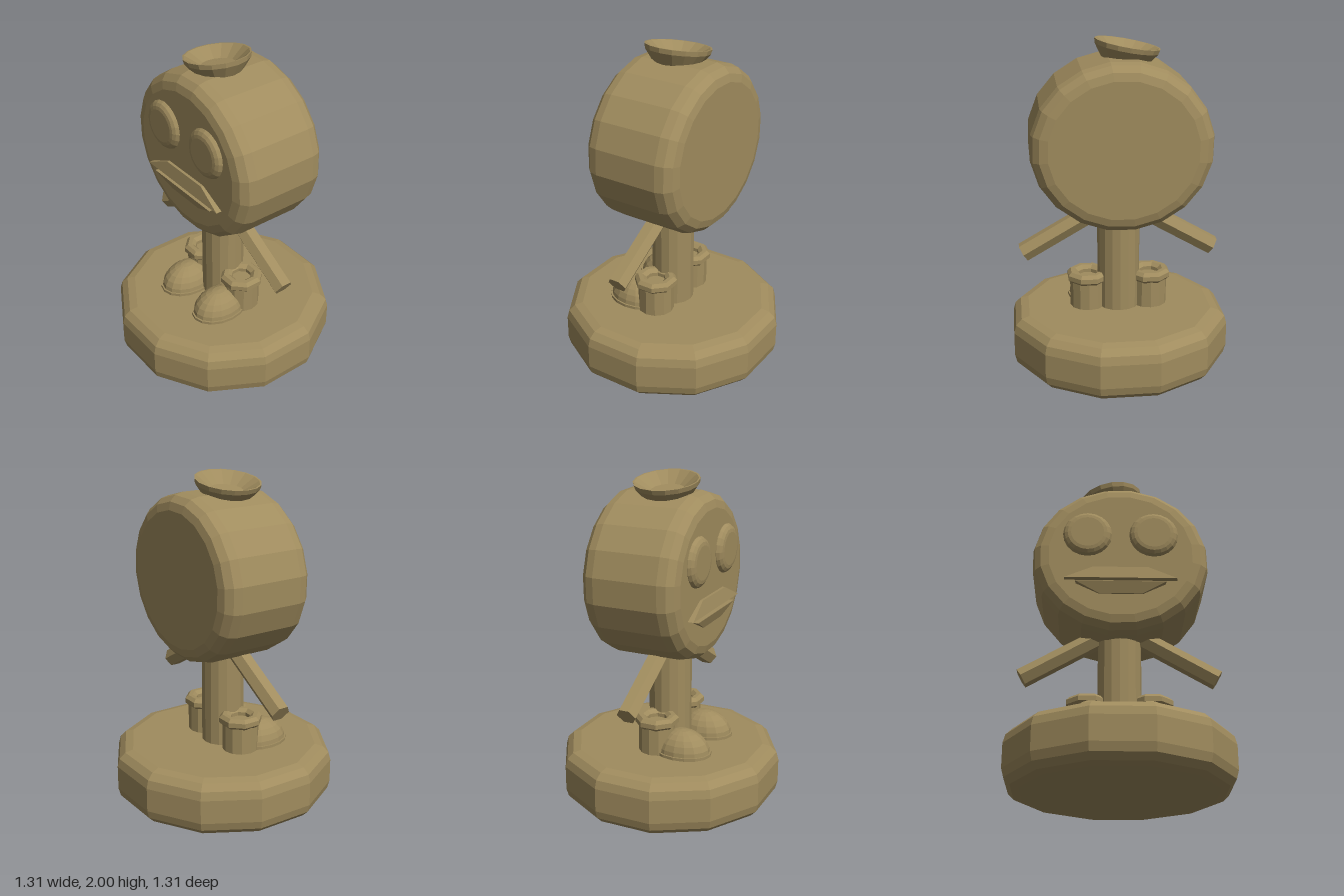
import * as THREE from 'three';

const tan = new THREE.MeshStandardMaterial({ color: 0xa08c5e, flatShading: true });
tan.name = 'tan';

const rad = THREE.MathUtils.degToRad;

function add(parent, name, geometry, x = 0, y = 0, z = 0) {
  const mesh = new THREE.Mesh(geometry, tan);
  mesh.name = name;
  mesh.position.set(x, y, z);
  parent.add(mesh);
  return mesh;
}

// Turned solid from [radius, height] pairs, listed bottom to top
function lathe(points, sides, startDeg = 0) {
  return new THREE.LatheGeometry(
    points.map(([r, h]) => new THREE.Vector2(r, h)), sides, rad(startDeg));
}

// Half profile of a disc with rounded rims
function roundedDisc(radius, bottom, top, bevel, steps) {
  const pts = [[0, bottom]];
  for (let i = 0; i <= steps; i++) {
    const a = (i / steps) * Math.PI / 2;
    pts.push([radius - bevel + bevel * Math.sin(a), bottom + bevel - bevel * Math.cos(a)]);
  }
  for (let i = 0; i <= steps; i++) {
    const a = (i / steps) * Math.PI / 2;
    pts.push([radius - bevel + bevel * Math.cos(a), top - bevel + bevel * Math.sin(a)]);
  }
  pts.push([0, top]);
  return pts;
}

// Trapezoid lip whose front leans back from the mouth line
function lip(wide, narrow, yMouth, yFar, lean) {
  const shape = new THREE.Shape([
    new THREE.Vector2(-wide, yMouth), new THREE.Vector2(wide, yMouth),
    new THREE.Vector2(narrow, yFar), new THREE.Vector2(-narrow, yFar)]);
  const geo = new THREE.ExtrudeGeometry(shape, { depth: 0.05, bevelEnabled: false });
  const p = geo.attributes.position;
  for (let i = 0; i < p.count; i++) {
    if (p.getZ(i) > 0.01) {
      p.setZ(i, 0.05 - lean * (p.getY(i) - yMouth) / (yFar - yMouth));
    }
  }
  geo.computeVertexNormals();
  return geo;
}

export function createModel() {
  const model = new THREE.Group();
  model.name = 'figurine';

  // Twelve-sided stand
  add(model, 'base', lathe(roundedDisc(0.678, 0, 0.345, 0.1, 3), 12, 15));

  // Post body
  add(model, 'body', new THREE.CylinderGeometry(0.13, 0.13, 0.65, 16), 0, 0.66, 0);

  // Drum-shaped head facing forward, slightly wider than tall
  const headGeo = lathe(roundedDisc(0.535, -0.33, 0.265, 0.1, 3), 20, 10.5);
  headGeo.rotateX(Math.PI / 2).scale(1, 0.932, 1);
  add(model, 'head', headGeo, 0, 1.406, 0);

  // Mouth
  add(model, 'upperLip', lip(0.335, 0.165, 1.228, 1.31, 0.018), 0, 0, 0.25);
  add(model, 'lowerLip', lip(0.268, 0.13, 1.205, 1.138, 0.025), 0, 0, 0.25);

  for (const [side, s] of [['left', 1], ['right', -1]]) {
    // Raised round eye
    const eyeGeo = lathe([[0.148, -0.02], [0.148, 0.005], [0.138, 0.022], [0.12, 0.034], [0.1, 0.038], [0, 0.038]], 20);
    eyeGeo.rotateX(Math.PI / 2);
    add(model, side + 'Eye', eyeGeo, s * 0.2, 1.54, 0.263);

    // Six-sided arm sloping down and outward
    const armLength = 0.58;
    const arm = add(model, side + 'Arm',
      new THREE.CylinderGeometry(0.06, 0.06, armLength, 6),
      s * (0.583 - armLength / 2 * 0.866), 0.703 + armLength / 4, 0);
    arm.rotation.z = s * rad(60);

    // Boot shaft with a hollow, chunky cuff
    const boot = new THREE.Group();
    boot.name = side + 'Boot';
    model.add(boot);
    add(boot, 'shaft', new THREE.CylinderGeometry(0.11, 0.11, 0.19, 12), s * 0.19, 0.435, 0);
    const cuff = [[0.06, 0.525], [0.085, 0.505], [0.112, 0.505], [0.132, 0.523],
      [0.132, 0.552], [0.112, 0.572], [0.085, 0.572], [0.06, 0.552], [0.06, 0.525]];
    add(boot, 'cuff', lathe(cuff, 8, 22.5), s * 0.19, 0, 0);

    // Domed toe on a thin sole
    const toe = new THREE.SphereGeometry(1, 16, 6, 0, Math.PI * 2, 0, Math.PI / 2);
    toe.scale(0.13, 0.145, 0.175);
    add(boot, 'toe', toe, s * 0.167, 0.35, 0.158);
    const sole = new THREE.CylinderGeometry(1, 1, 0.025, 16);
    sole.scale(0.138, 1, 0.183);
    add(boot, 'sole', sole, s * 0.167, 0.35, 0.158);
  }

  // Tilted funnel hat with an open bowl
  const hat = add(model, 'funnelHat', lathe([
    [0, -0.11], [0.13, -0.11], [0.19, -0.028], [0.196, 0],
    [0.186, 0], [0.1, -0.06], [0, -0.06]], 16), -0.054, 1.965, 0);
  hat.rotation.z = rad(10.4);

  return model;
}
